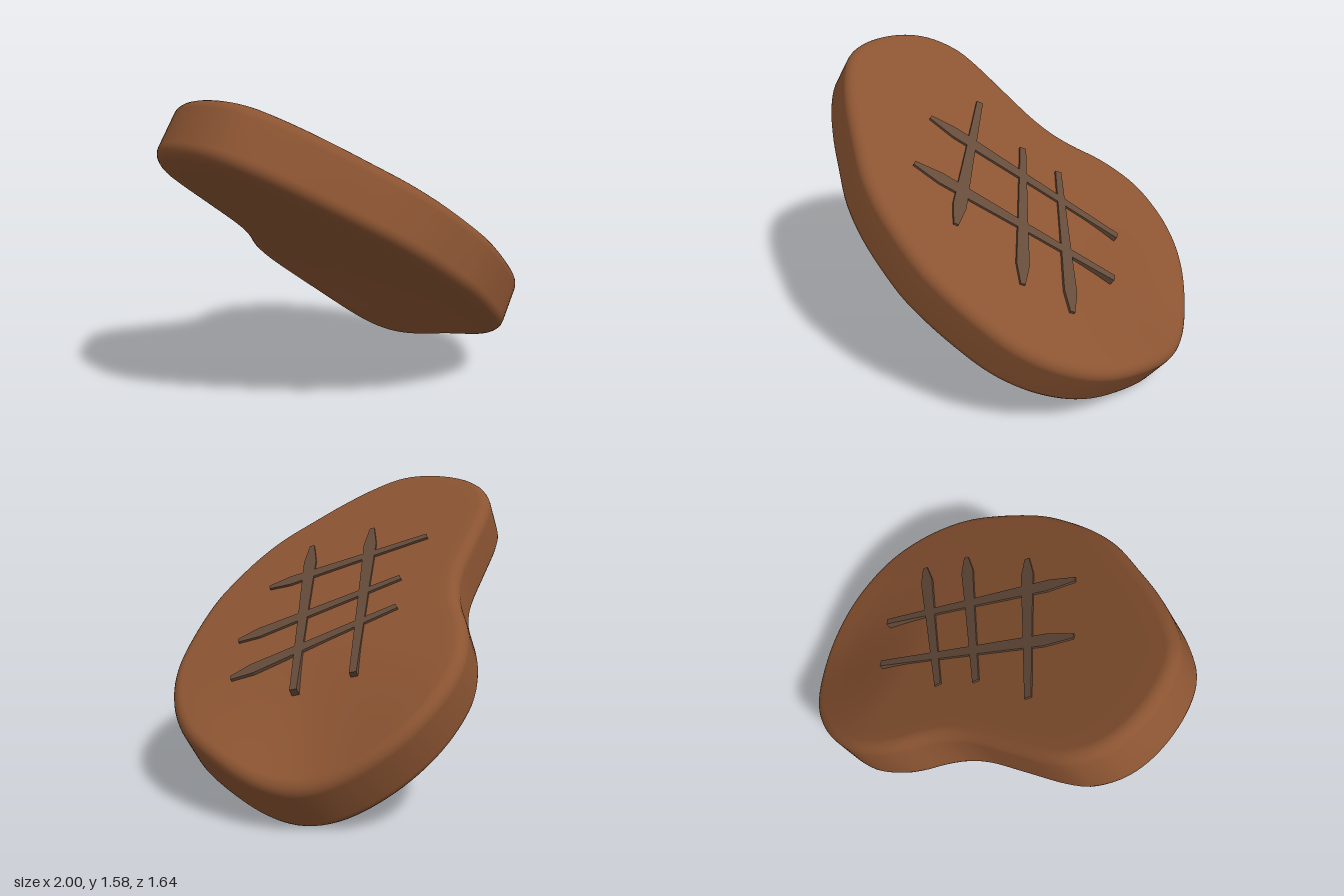
import * as THREE from 'three';

const TILT = 0.6, C = Math.cos(TILT), S = Math.sin(TILT);
const HALF = 0.15;   // half thickness of the slab
const ROUND = 0.06;  // edge rounding

// Slab outline (x, z) at mid thickness, seen from straight above
const OUTLINE = [
  [0.938, -0.05], [0.91, -0.28], [0.82, -0.5], [0.69, -0.68], [0.53, -0.785], [0.32, -0.82],
  [0.16, -0.775], [0.065, -0.72], [-0.03, -0.645], [-0.13, -0.585], [-0.24, -0.55], [-0.43, -0.53],
  [-0.63, -0.51], [-0.73, -0.48], [-0.835, -0.39], [-0.9, -0.27], [-0.938, -0.1], [-0.938, 0.08],
  [-0.905, 0.2], [-0.815, 0.33], [-0.685, 0.46], [-0.535, 0.58], [-0.385, 0.69], [-0.23, 0.76],
  [-0.03, 0.805], [0.1, 0.815], [0.33, 0.78], [0.535, 0.71], [0.705, 0.58], [0.835, 0.4], [0.905, 0.2],
];

// Straight-down sag of the low back corner
function sag(x, z) {
  return 0.11 * THREE.MathUtils.smoothstep(x, 0.25, 0.85) * Math.exp(-(((z + 0.35) / 0.4) ** 2));
}

// Rings run from the top centre, over the rounded rim, to the bottom centre
function slabGeometry() {
  const N = 160;
  const curve = new THREE.CatmullRomCurve3(
    OUTLINE.map(([x, z]) => new THREE.Vector3(x / C, 0, z)), true);
  const rim = [];
  for (let j = 0; j < N; j++) {
    const p = curve.getPointAt(j / N), t = curve.getTangentAt(j / N);
    rim.push({ x: p.x, z: p.z, nx: -t.z, nz: t.x });
  }

  const half = [];
  for (let i = 0; i < 12; i++) half.push({ scale: i / 12, inset: ROUND, h: HALF });
  for (let i = 0; i <= 6; i++) {
    const a = (i / 6) * Math.PI / 2;
    half.push({ scale: 1, inset: ROUND * (1 - Math.sin(a)), h: HALF - ROUND * (1 - Math.cos(a)) });
  }
  const rings = [...half, { scale: 1, inset: 0, h: 0 },
    ...half.slice().reverse().map((r) => ({ ...r, h: -r.h }))];

  const pos = [], index = [], cx = 0.1;
  for (const { scale, inset, h } of rings) {
    for (const r of rim) {
      const x = cx + (r.x - r.nx * inset - cx) * scale;
      const z = (r.z - r.nz * inset) * scale;
      const d = sag(x * C, z);
      pos.push(x + d * S, h - d * C, z);
    }
  }
  for (let i = 0; i < rings.length - 1; i++) {
    for (let j = 0; j < N; j++) {
      const k = (j + 1) % N;
      const a = i * N + j, b = i * N + k, c = a + N, d = b + N;
      if (i < rings.length - 2) index.push(a, c, d);
      if (i > 0) index.push(a, d, b);
    }
  }
  const geo = new THREE.BufferGeometry();
  geo.setAttribute('position', new THREE.Float32BufferAttribute(pos, 3));
  geo.setIndex(index);
  geo.computeVertexNormals();
  return geo;
}

// Raised sear bar: narrow at the start, widest near the end, then a blunt tip
function barGeometry(x0, z0, x1, z1) {
  const toLocal = (x) => (x - HALF * S) / C;
  const from = new THREE.Vector2(toLocal(x0), -z0);
  const dir = new THREE.Vector2(toLocal(x1), -z1).sub(from);
  const side = new THREE.Vector2(-dir.y, dir.x).normalize();
  const widths = [[0, 0.018], [0.5, 0.027], [0.87, 0.036], [1, 0.013]];
  const at = ([t, w], s) => from.clone().addScaledVector(dir, t).addScaledVector(side, w * s);
  const shape = new THREE.Shape([
    ...widths.map((p) => at(p, -1)),
    ...widths.slice().reverse().map((p) => at(p, 1)),
  ]);
  const geo = new THREE.ExtrudeGeometry(shape, { depth: 0.04, bevelEnabled: false });
  return geo.rotateX(-Math.PI / 2).translate(0, HALF - 0.028, 0);
}

export function createModel() {
  const model = new THREE.Group();
  model.name = 'steak';
  const tilted = new THREE.Group();
  tilted.name = 'tiltedSteak';
  tilted.rotation.z = -TILT;
  tilted.position.y = 0.823;
  model.add(tilted);

  const meat = new THREE.MeshStandardMaterial({ color: 0x8b5432 });
  const sear = new THREE.MeshStandardMaterial({ color: 0x654b3a });

  const slab = new THREE.Mesh(slabGeometry(), meat);
  slab.name = 'meatSlab';
  tilted.add(slab);

  // Grill marks: two long bars crossed by three
  const bars = [
    [0.52, -0.33, -0.38, 0.11],
    [0.65, -0.08, -0.23, 0.42],
    [-0.34, -0.26, 0.08, 0.49],
    [-0.05, -0.26, 0.43, 0.43],
    [0.13, -0.34, 0.64, 0.31],
  ];
  const marks = new THREE.Group();
  marks.name = 'grillMarks';
  bars.forEach((b, i) => {
    const bar = new THREE.Mesh(barGeometry(...b), sear);
    bar.name = `grillMark${i + 1}`;
    marks.add(bar);
  });
  tilted.add(marks);

  // Rest the lowest point on the ground
  model.updateMatrixWorld(true);
  tilted.position.y -= new THREE.Box3().setFromObject(model, true).min.y;
  return model;
}
